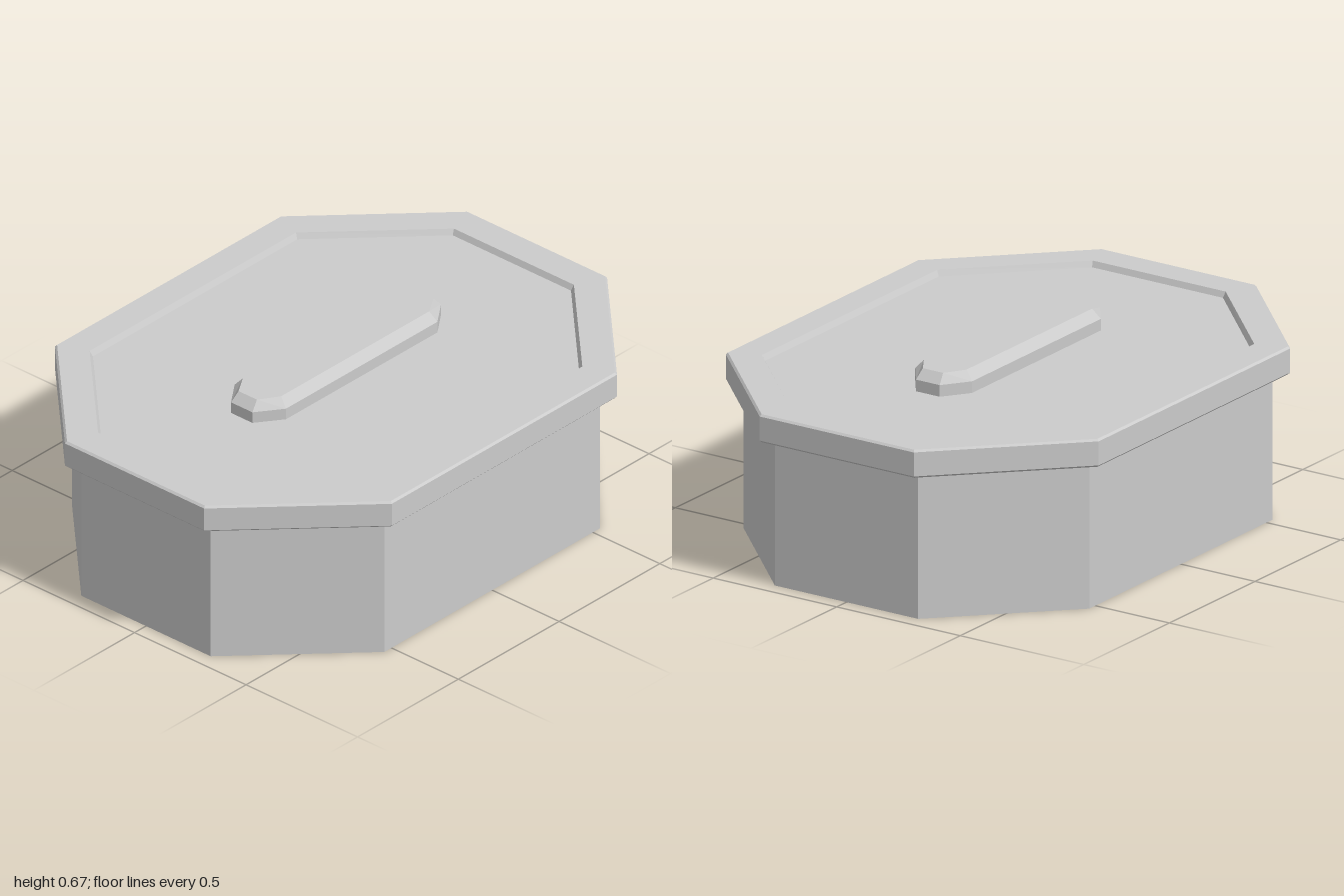
import * as THREE from 'three';

// One octagonal section: half extents hx, hz and half lengths fx, fz of the straight sides.
function ring([hx, hz, fx, fz, y]) {
  return [[hx, fz], [fx, hz], [-fx, hz], [-hx, fz], [-hx, -fz], [-fx, -hz], [fx, -hz], [hx, -fz]]
    .map(([x, z]) => [x, y, z]);
}

// Skin consecutive octagons from bottom to top and cap both ends.
function loft(name, sections, material) {
  const rings = sections.map(ring);
  const positions = [];
  const tri = (a, b, c) => positions.push(...a, ...b, ...c);
  for (let r = 0; r < rings.length - 1; r++) {
    for (let i = 0; i < 8; i++) {
      const j = (i + 1) % 8;
      const a = rings[r][i], b = rings[r][j], c = rings[r + 1][j], d = rings[r + 1][i];
      tri(a, c, b);
      tri(a, d, c);
    }
  }
  const first = rings[0], last = rings[rings.length - 1];
  for (let i = 1; i < 7; i++) {
    tri(first[0], first[i], first[i + 1]);
    tri(last[0], last[i + 1], last[i]);
  }
  const geometry = new THREE.BufferGeometry();
  geometry.setAttribute('position', new THREE.Float32BufferAttribute(positions, 3));
  geometry.computeVertexNormals();
  const mesh = new THREE.Mesh(geometry, material);
  mesh.name = name;
  return mesh;
}

export function createModel() {
  const model = new THREE.Group();
  model.name = 'liddedBox';
  const grey = new THREE.MeshStandardMaterial({ color: 0xcccccc, flatShading: true });

  // Straight-sided container
  model.add(loft('container', [
    [0.943, 0.70, 0.535, 0.29, 0],
    [0.943, 0.70, 0.535, 0.29, 0.525],
  ], grey));

  // Overhanging lid with bevelled edges and a shallow sunken panel
  model.add(loft('lid', [
    [0.993, 0.748, 0.556, 0.309, 0.517],
    [1.0, 0.755, 0.559, 0.312, 0.524],
    [1.0, 0.755, 0.559, 0.312, 0.609],
    [0.993, 0.748, 0.556, 0.309, 0.616],
    [0.883, 0.642, 0.512, 0.269, 0.616],
    [0.873, 0.632, 0.507, 0.265, 0.596],
  ], grey));

  // Long chamfered grip
  model.add(loft('handle', [
    [0.468, 0.115, 0.376, 0.048, 0.59],
    [0.468, 0.115, 0.376, 0.048, 0.637],
    [0.438, 0.086, 0.367, 0.041, 0.67],
  ], grey));

  return model;
}
